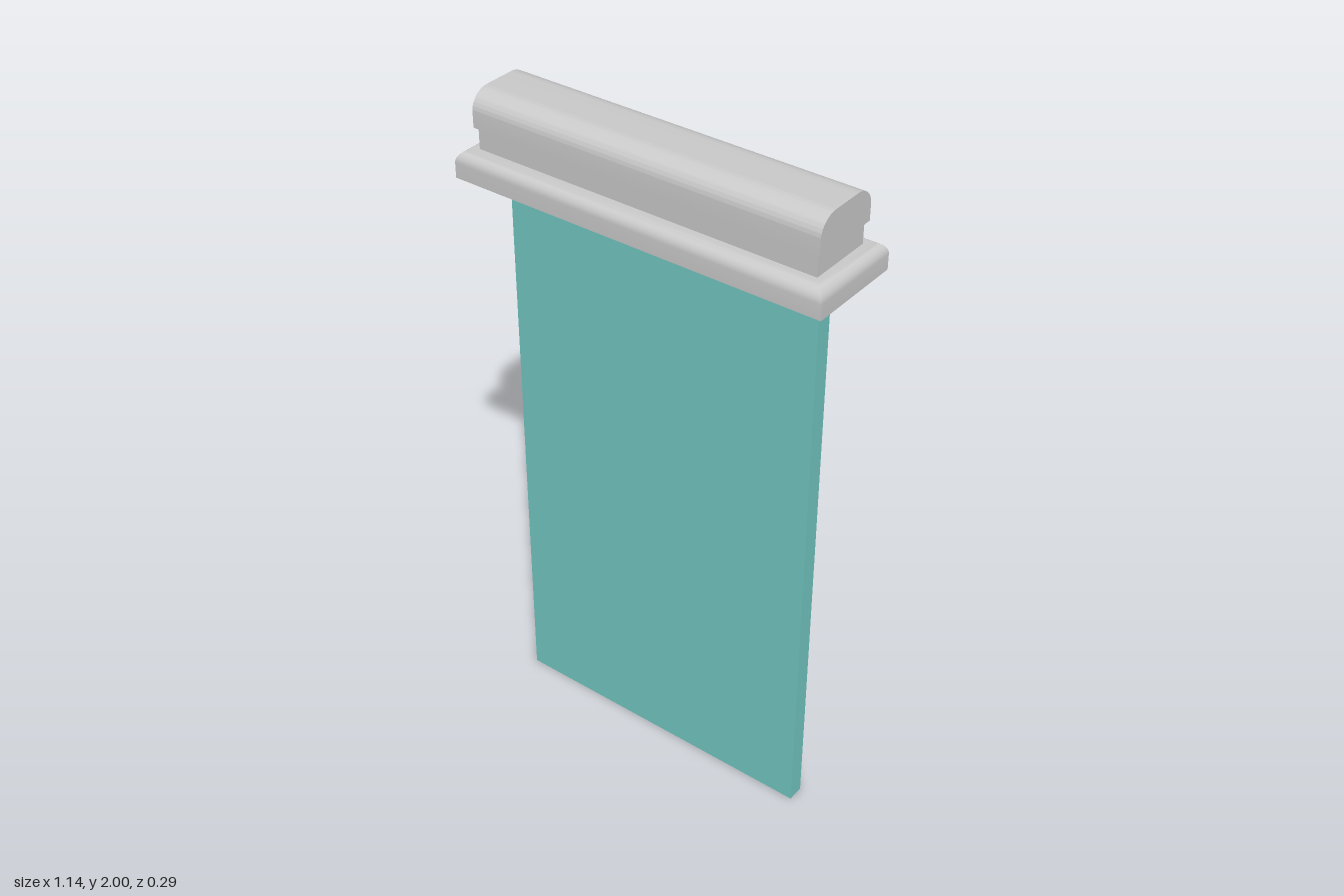
import * as THREE from 'three';
import { toCreasedNormals } from 'three/addons/utils/BufferGeometryUtils.js';

const CREASE = 0.6;

// Rectangular moulding: a four-sided lathe of half depth hz, stretched to half width hx.
// Profile points are [half depth, height], listed from the bottom up.
function mouldingGeometry(profile, hx, hz) {
  const points = profile.map(([r, y]) => new THREE.Vector2(r * Math.SQRT2, y));
  const geometry = new THREE.LatheGeometry(points, 4, Math.PI / 4);
  const pos = geometry.attributes.position;
  for (let i = 0; i < pos.count; i++) {
    pos.setX(i, pos.getX(i) + Math.sign(pos.getX(i)) * (hx - hz));
  }
  return toCreasedNormals(geometry, CREASE);
}

// Bar with a constant section in z/y, running along x with flat ends.
function barGeometry(shape, hx) {
  const geometry = new THREE.ExtrudeGeometry(shape, { depth: hx * 2, bevelEnabled: false, curveSegments: 12 });
  geometry.translate(0, 0, -hx);
  geometry.rotateY(Math.PI / 2);
  return toCreasedNormals(geometry, CREASE);
}

export function createModel() {
  const group = new THREE.Group();
  const grey = new THREE.MeshStandardMaterial({ color: 0xcccccc });
  const teal = new THREE.MeshStandardMaterial({ color: 0x74cac4 });

  const add = (name, geometry, material, y = 0) => {
    const mesh = new THREE.Mesh(geometry, material);
    mesh.name = name;
    mesh.position.y = y;
    group.add(mesh);
  };

  // Flat hanging panel
  add('panel', new THREE.BoxGeometry(0.98, 1.77, 0.05), teal, 0.885);

  // Base moulding with a rounded upper edge
  const hz = 0.146, r = 0.034;
  const profile = [[0.015, 1.76], [hz, 1.76]];
  for (let i = 0; i <= 8; i++) {
    const a = (i / 8) * Math.PI / 2;
    profile.push([hz - r + r * Math.cos(a), 1.804 + r * Math.sin(a)]);
  }
  profile.push([0.05, 1.838]);
  add('baseMoulding', mouldingGeometry(profile, 0.571, hz), grey);

  // Recessed neck
  add('neck', new THREE.BoxGeometry(1.05, 0.08, 0.196), grey, 1.87);

  // Cap bar, rounded over the top
  const w = 0.107, rx = 0.06, ry = 0.055;
  const section = new THREE.Shape();
  section.moveTo(-w, 1.9);
  section.lineTo(w, 1.9);
  section.lineTo(w, 2 - ry);
  section.absellipse(w - rx, 2 - ry, rx, ry, 0, Math.PI / 2, false);
  section.lineTo(-w + rx, 2);
  section.absellipse(-w + rx, 2 - ry, rx, ry, Math.PI / 2, Math.PI, false);
  section.closePath();
  add('capBar', barGeometry(section, 0.534), grey);

  return group;
}
